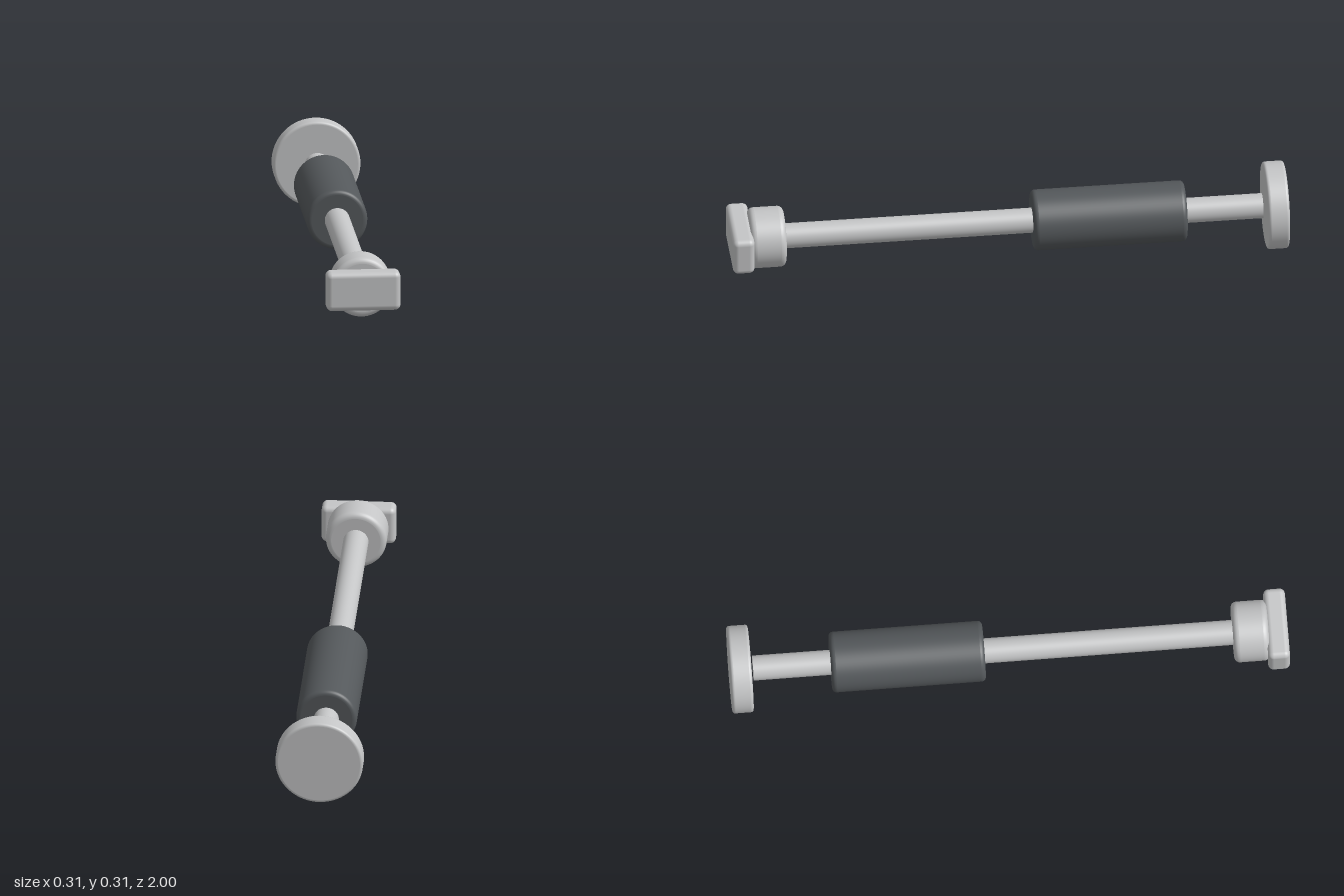
import * as THREE from 'three';
import { RoundedBoxGeometry } from 'three/addons/geometries/RoundedBoxGeometry.js';

const AXIS_Y = 0.157;

// Solid cylinder along z between two z positions, with rounded rims
function roundedCylinder(radius, zBack, zFront, bevel) {
  const half = (zFront - zBack) / 2;
  const steps = 6;
  const eps = 0.0005; // short support segment keeps the flats flat
  const points = [new THREE.Vector2(0, -half), new THREE.Vector2(radius - bevel - eps, -half)];
  for (const end of [-1, 1]) {
    for (let i = 0; i <= steps; i++) {
      const t = (end < 0 ? i / steps - 1 : i / steps) * Math.PI / 2;
      points.push(new THREE.Vector2(
        radius - bevel + bevel * Math.cos(t),
        end * (half - bevel) + bevel * Math.sin(t)
      ));
    }
    if (end < 0) {
      points.push(new THREE.Vector2(radius, -half + bevel + eps));
      points.push(new THREE.Vector2(radius, half - bevel - eps));
    }
  }
  points.push(new THREE.Vector2(radius - bevel - eps, half), new THREE.Vector2(0, half));
  return new THREE.LatheGeometry(points, 64)
    .rotateX(Math.PI / 2)
    .translate(0, AXIS_Y, (zBack + zFront) / 2);
}

export function createModel() {
  const metal = new THREE.MeshStandardMaterial({ color: 0xc4c5c6 });
  metal.name = 'light metal';
  const rubber = new THREE.MeshStandardMaterial({ color: 0x54585b });
  rubber.name = 'dark grip';

  const model = new THREE.Group();
  model.name = 'rodTool';
  const add = (name, geometry, material) => {
    const mesh = new THREE.Mesh(geometry, material);
    mesh.name = name;
    model.add(mesh);
  };

  // Long shaft, stopping just short of the end disc
  const shaft = new THREE.CylinderGeometry(0.045, 0.045, 1.766, 48)
    .rotateX(Math.PI / 2)
    .translate(0, AXIS_Y, -0.033);
  add('shaft', shaft, metal);

  // Grip sleeve, end disc and front collar
  add('grip', roundedCylinder(0.109, -0.638, -0.088, 0.016), rubber);
  add('endDisc', roundedCylinder(0.157, -1, -0.924, 0.01), metal);
  add('collar', roundedCylinder(0.109, 0.803, 0.93, 0.02), metal);

  // Rounded rectangular head block
  const head = new RoundedBoxGeometry(0.266, 0.141, 0.078, 5, 0.02)
    .translate(0, AXIS_Y + 0.001, 0.961);
  add('headBlock', head, metal);

  return model;
}
